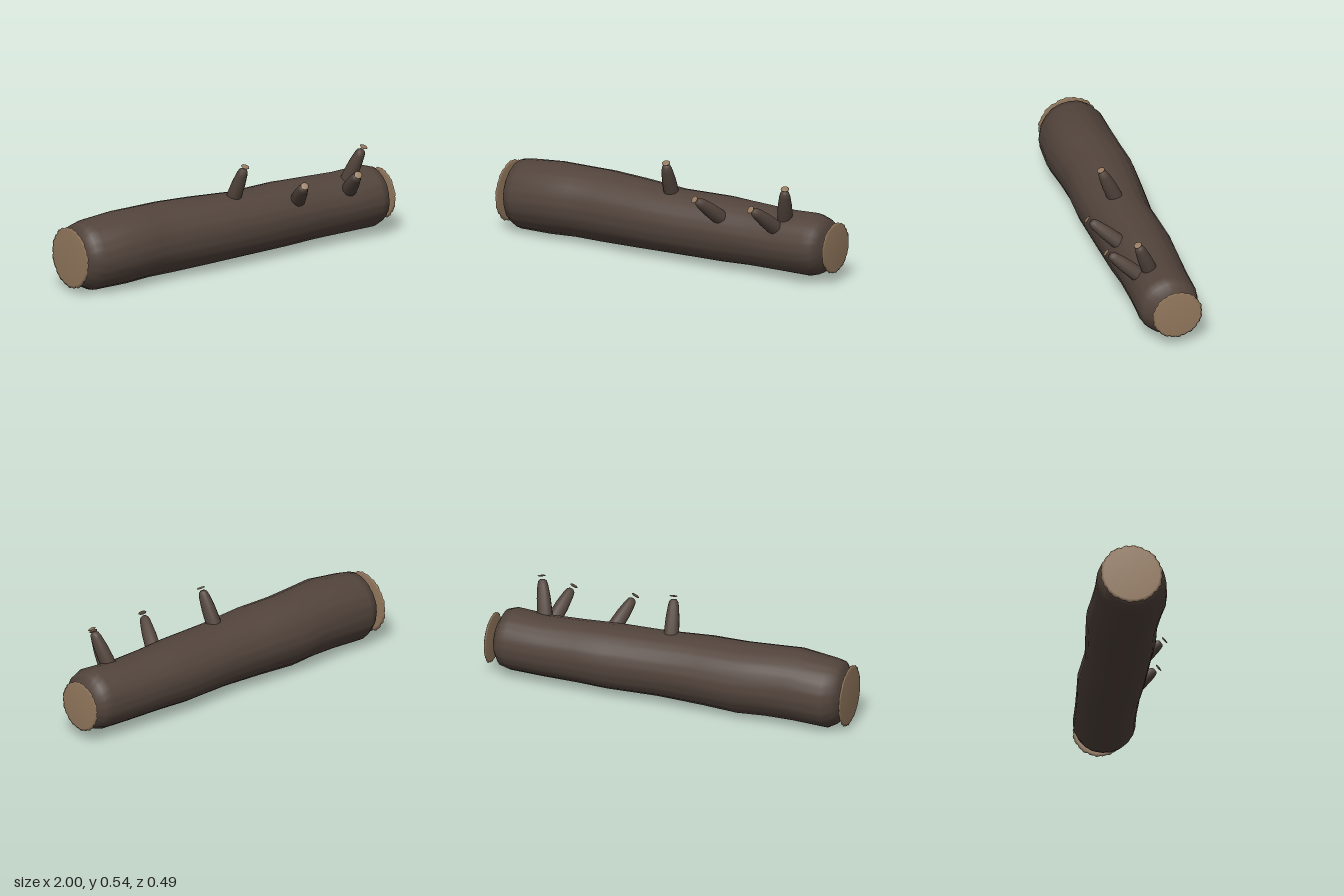
import * as THREE from 'three';

// Closed smooth loft along x; each ring is [x, bottom, top, back, front].
function loft(rings, sides, ripple) {
  const pos = [], idx = [];
  rings.forEach(([x, y0, y1, z0, z1], j) => {
    for (let i = 0; i < sides; i++) {
      const a = (i / sides) * Math.PI * 2, k = 1 + ripple(a, i, j);
      pos.push(x, (y0 + y1) / 2 + Math.cos(a) * k * (y1 - y0) / 2,
        (z0 + z1) / 2 + Math.sin(a) * k * (z1 - z0) / 2);
      if (j < rings.length - 1) {
        const n = (i + 1) % sides, p = j * sides;
        idx.push(p + i, p + n, p + sides + i, p + n, p + sides + n, p + sides + i);
      }
    }
  });
  const g = new THREE.BufferGeometry();
  g.setAttribute('position', new THREE.Float32BufferAttribute(pos, 3));
  g.setIndex(idx);
  g.computeVertexNormals();
  return g;
}

export function createModel() {
  const model = new THREE.Group();
  const bark = new THREE.MeshStandardMaterial({ name: 'bark', color: 0x52443c });
  const wood = new THREE.MeshStandardMaterial({ name: 'cut wood', color: 0x957a5f });
  const add = (name, geometry, material, parent = model) => {
    const mesh = new THREE.Mesh(geometry, material);
    mesh.name = name;
    parent.add(mesh);
    return mesh;
  };

  // Trunk with rounded ends and gentle lengthwise ridges
  const trunk = [
    [-0.982, 0.19, 0.2, -0.06, -0.05], [-0.98, 0.12, 0.27, -0.13, 0.02],
    [-0.965, 0.07, 0.33, -0.18, 0.07], [-0.94, 0.035, 0.368, -0.215, 0.11],
    [-0.89, 0.008, 0.378, -0.235, 0.13], [-0.7, 0.014, 0.398, -0.23, 0.15],
    [-0.55, 0.02, 0.395, -0.235, 0.138], [-0.4, 0.016, 0.392, -0.245, 0.13],
    [-0.2, 0.022, 0.386, -0.23, 0.142], [0.05, 0.026, 0.37, -0.21, 0.135],
    [0.33, 0.026, 0.372, -0.222, 0.13], [0.5, 0.033, 0.365, -0.212, 0.12],
    [0.7, 0.036, 0.358, -0.203, 0.12], [0.88, 0.04, 0.368, -0.197, 0.13],
    [0.93, 0.056, 0.352, -0.185, 0.115], [0.955, 0.095, 0.31, -0.15, 0.075],
    [0.97, 0.14, 0.26, -0.11, 0.01], [0.974, 0.19, 0.21, -0.06, -0.04],
  ];
  add('trunk', loft(trunk, 48, (a, i, j) =>
    0.009 * Math.sin(20 * a + j * 0.5) + 0.006 * Math.sin(7 * a - j * 0.8)), bark);

  // Thin sawn faces with ragged rims, set just beyond each trunk end
  const endDisc = (name, x, y, z, r) => {
    const rings = [[-0.006, 0.002], [-0.006, 0.91], [0, 1], [0.006, 0.91], [0.006, 0.002]]
      .map(([dx, s]) => [x + dx, y - r * s, y + r * s, z - r * s, z + r * s]);
    add(name, loft(rings, 72, (a, i, j) =>
      j === 2 ? 0.02 * Math.sin(i * 2.1) + 0.012 * Math.sin(i * 0.9) : 0), wood);
  };
  endDisc('rightEndFace', -0.992, 0.194, -0.06, 0.162);
  endDisc('leftEndFace', 0.992, 0.198, -0.053, 0.134);

  // Tapered branch stubs: visible root, tip and sawn cap centre
  const stubs = [
    [[0.018, 0.375, 0.0], [0.03, 0.527, 0.067], [0.034, 0.541, 0.073]],
    [[0.36, 0.312, 0.092], [0.31, 0.415, 0.212], [0.303, 0.426, 0.231]],
    [[0.692, 0.312, 0.092], [0.652, 0.415, 0.212], [0.646, 0.426, 0.231]],
    [[0.735, 0.36, 0.03], [0.77, 0.508, 0.09], [0.776, 0.524, 0.098]],
  ];
  const up = new THREE.Vector3(0, 1, 0);
  stubs.forEach(([root, tip, cap], n) => {
    const a = new THREE.Vector3(...root), b = new THREE.Vector3(...tip);
    const dir = b.clone().sub(a), len = dir.length();
    dir.normalize();
    const profile = [[0.04, -0.06], [0.04, 0], [0.037, len * 0.4], [0.029, len * 0.8],
      [0.023, len - 0.01], [0.012, len], [0, len]].map(p => new THREE.Vector2(...p));
    const branch = new THREE.Group();
    branch.name = 'branch' + (n + 1);
    branch.position.copy(a);
    branch.quaternion.setFromUnitVectors(up, dir);
    model.add(branch);
    add('branchStub', new THREE.LatheGeometry(profile, 12), bark, branch);
    const face = add('branchCutFace', new THREE.SphereGeometry(0.022, 12, 6), wood);
    face.scale.y = 0.2;
    face.position.set(...cap);
    face.quaternion.copy(branch.quaternion);
  });
  return model;
}
